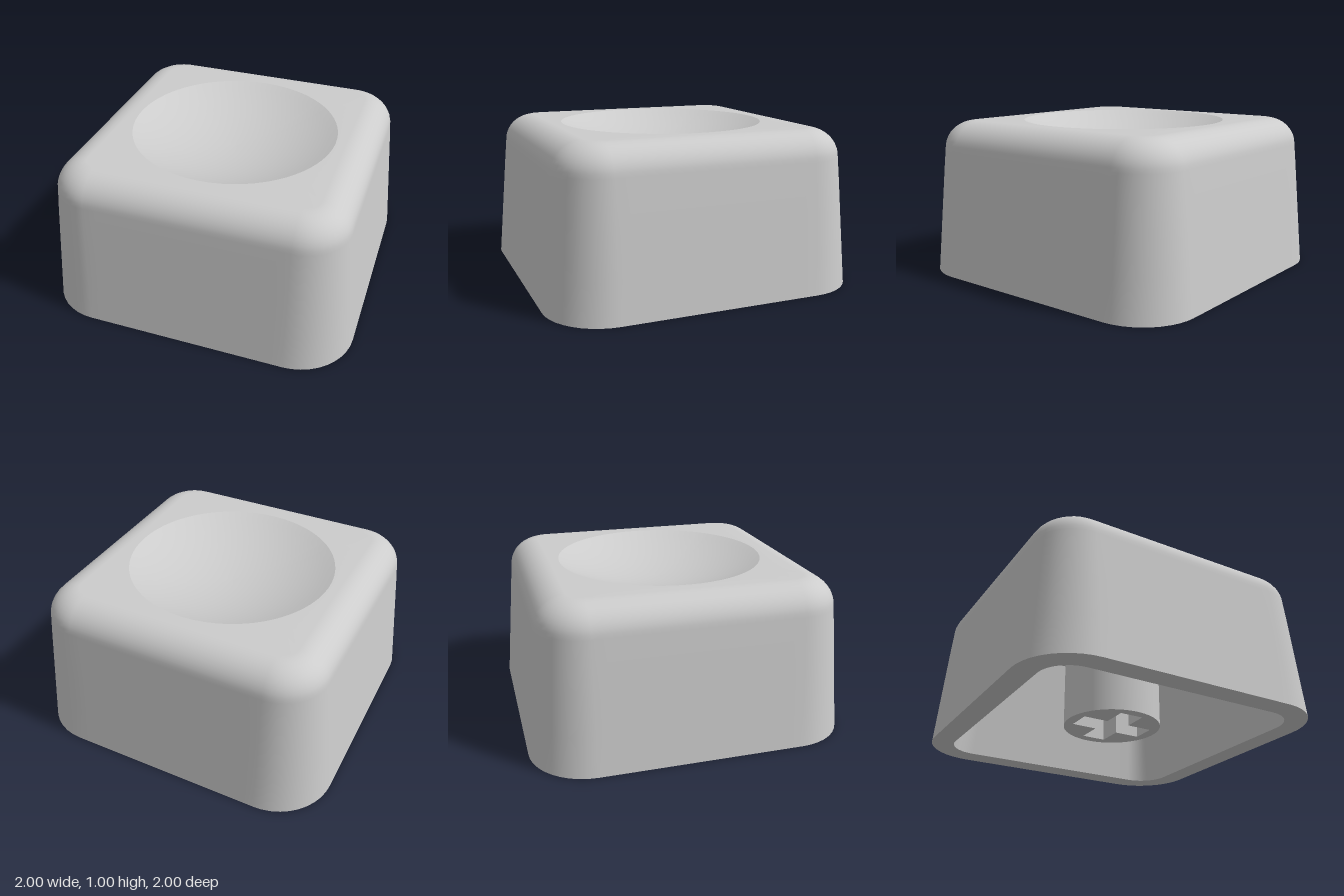
import * as THREE from 'three';
import { toCreasedNormals } from 'three/addons/utils/BufferGeometryUtils.js';

const SIDE = 16, CORNER = 10;

// Rounded square ring in the XZ plane: half width h, corner radius r
function squareRing(h, r, y) {
  const ring = [], c = h - r;
  for (let q = 0; q < 4; q++) {
    const rot = new THREE.Vector3(0, 1, 0), a0 = -q * Math.PI / 2;
    const add = (x, z) => ring.push(new THREE.Vector3(x, y, z).applyAxisAngle(rot, a0));
    for (let i = 0; i < SIDE; i++) add(h, -c + 2 * c * i / SIDE);
    for (let i = 0; i < CORNER; i++) {
      const a = i / CORNER * Math.PI / 2;
      add(c + r * Math.cos(a), c + r * Math.sin(a));
    }
  }
  return ring;
}

// Circular ring whose points line up with those of a square ring
function circleRing(radius, y) {
  return squareRing(0.73, 0.09, 0).map(p => p.setLength(radius).setY(y));
}

// Skin a list of rings
function loft(rings) {
  const n = rings[0].length, pos = [], idx = [];
  rings.forEach(ring => ring.forEach(p => pos.push(p.x, p.y, p.z)));
  for (let i = 0; i < rings.length - 1; i++) {
    for (let j = 0; j < n; j++) {
      const a = i * n + j, b = i * n + (j + 1) % n;
      idx.push(a, a + n, b, b, a + n, b + n);
    }
  }
  const g = new THREE.BufferGeometry();
  g.setAttribute('position', new THREE.Float32BufferAttribute(pos, 3));
  g.setIndex(idx);
  g.computeVertexNormals();
  return g;
}

export function createModel() {
  const group = new THREE.Group();
  const plastic = new THREE.MeshStandardMaterial({ color: 0xcccccc });
  plastic.name = 'grey plastic';
  const add = (name, geometry) => {
    const mesh = new THREE.Mesh(geometry, plastic);
    mesh.name = name;
    group.add(mesh);
  };

  // Tapered outer walls, rounded shoulder and flat top around the dish
  const dishR = 0.667, depth = 0.145, ceiling = 0.8;
  const outer = [0, 0.25, 0.5, 0.7].map(y => {
    const h = 1 - 0.09 * y;
    return squareRing(h, h - 0.64, y);
  });
  for (let i = 0; i <= 10; i++) {
    const a = i / 10 * Math.PI / 2;
    const h = 0.73 + 0.195 * Math.cos(a);
    outer.push(squareRing(h, h - 0.64, 0.82 + 0.18 * Math.sin(a)));
  }
  outer.push(circleRing(dishR, 1));
  add('outerShell', loft(outer));

  // Spherical finger dish
  const sphereR = (dishR * dishR + depth * depth) / (2 * depth);
  const dish = [];
  for (let i = 0; i <= 12; i++) {
    const r = Math.max(dishR * (1 - i / 12), 0.0005);
    dish.push(circleRing(r, 1 - depth + sphereR - Math.sqrt(sphereR * sphereR - r * r)));
  }
  add('fingerDish', loft(dish));

  // Bottom rim and hollow inside
  const innerBottom = () => squareRing(0.85, 0.2, 0);
  const innerTop = () => squareRing(0.74, 0.14, ceiling);
  add('bottomRim', loft([innerBottom(), squareRing(1, 0.36, 0)]));
  add('innerWalls', loft([innerTop(), innerBottom()]));
  add('innerCeiling', loft([circleRing(0.0005, ceiling), innerTop()]));

  // Round stem with a cross-shaped socket
  const L = 0.25, w = 0.08, stemBottom = 0.055;
  const stem = new THREE.Shape().absarc(0, 0, 0.32, 0, Math.PI * 2);
  const cross = [[L, -w], [L, w], [w, w], [w, L], [-w, L], [-w, w],
    [-L, w], [-L, -w], [-w, -w], [-w, -L], [w, -L], [w, -w]];
  stem.holes.push(new THREE.Path(cross.map(([x, y]) => new THREE.Vector2(x, y))));
  const stemGeo = new THREE.ExtrudeGeometry(stem,
    { depth: ceiling - stemBottom, bevelEnabled: false, curveSegments: 48 });
  stemGeo.rotateX(-Math.PI / 2).translate(0, stemBottom, 0);
  add('stem', toCreasedNormals(stemGeo, 0.5));

  return group;
}
